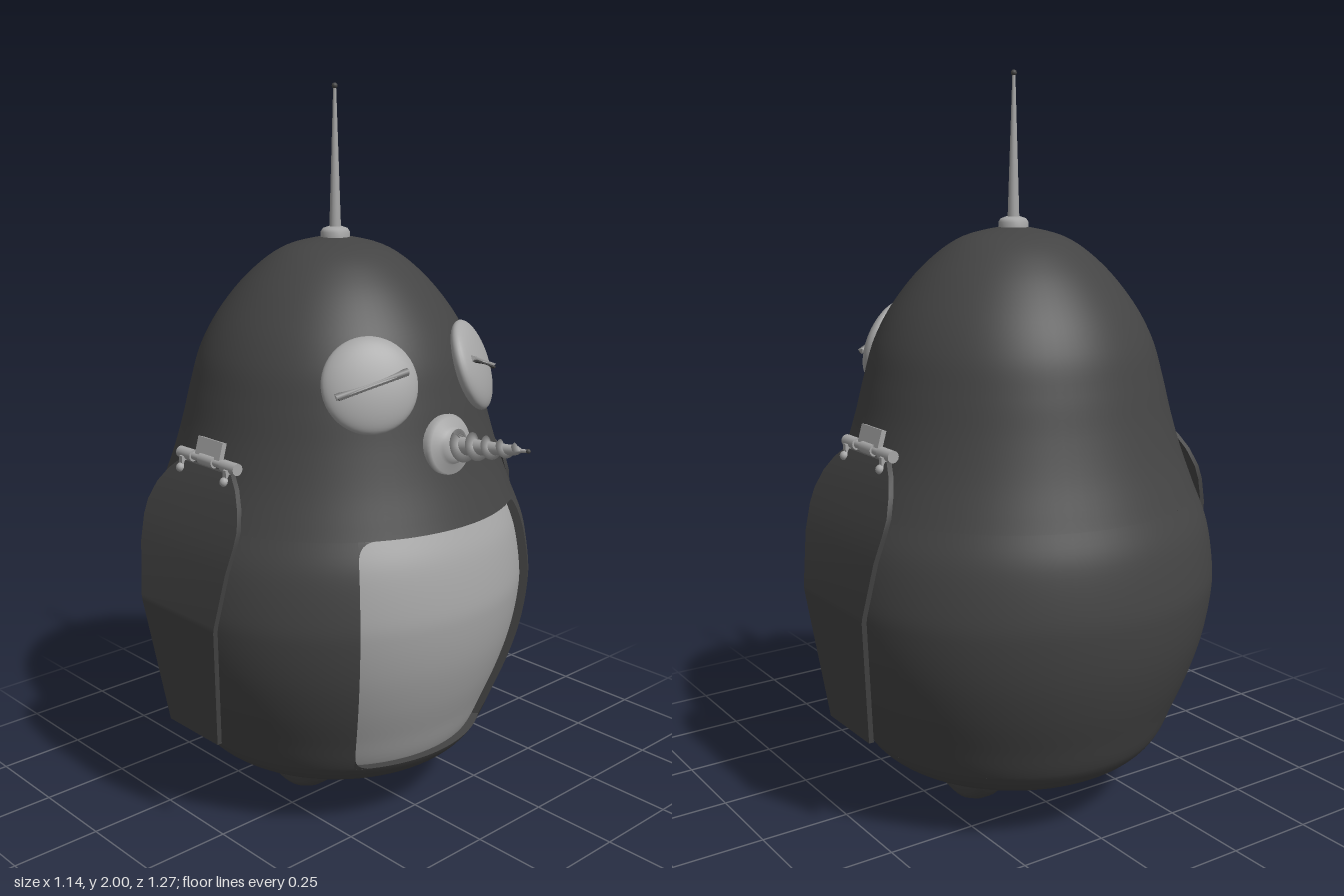
import * as THREE from 'three';
import { ParametricGeometry } from 'three/addons/geometries/ParametricGeometry.js';

const V2 = (x, y) => new THREE.Vector2(x, y);

export function createModel() {
  const dark = new THREE.MeshStandardMaterial({ name: 'charcoal shell', color: 0x444444, side: THREE.DoubleSide });
  const light = new THREE.MeshStandardMaterial({ name: 'light grey metal', color: 0xa6a6a6, side: THREE.DoubleSide });

  const model = new THREE.Group();
  model.name = 'robotBird';

  function add(parent, name, geometry, material, x = 0, y = 0, z = 0) {
    const mesh = new THREE.Mesh(geometry, material);
    mesh.name = name;
    mesh.position.set(x, y, z);
    parent.add(mesh);
    return mesh;
  }
  function group(parent, name, x = 0, y = 0, z = 0) {
    const g = new THREE.Group();
    g.name = name;
    g.position.set(x, y, z);
    parent.add(g);
    return g;
  }

  // The body axis sits a little behind the origin to leave room for the beak
  const axis = group(model, 'bodyAssembly', 0, 0, -0.083);

  // Body profile: radius and height
  const profile = new THREE.SplineCurve([
    [0, 0.125], [0.15, 0.125], [0.29, 0.127], [0.36, 0.145], [0.42, 0.2], [0.465, 0.3], [0.505, 0.4],
    [0.535, 0.5], [0.552, 0.6], [0.554, 0.68], [0.535, 0.8], [0.497, 0.9], [0.46, 1.0], [0.43, 1.1],
    [0.405, 1.2], [0.375, 1.3], [0.32, 1.4], [0.235, 1.5], [0.135, 1.57], [0, 1.602],
  ].map(p => V2(...p))).getPoints(114);

  function radiusAt(y) {
    const i = profile.findIndex(p => p.y >= y);
    const a = profile[i - 1], b = profile[i];
    return a.x + (b.x - a.x) * (y - a.y) / (b.y - a.y);
  }
  const between = (y0, y1) => [
    V2(radiusAt(y0), y0), ...profile.filter(p => p.y > y0 && p.y < y1), V2(radiusAt(y1), y1),
  ];

  // Body shell with an opening for the belly panel
  const low = 0.208, high = 0.885, half = 0.625, inset = 0.024;
  const lower = [...profile.filter(p => p.y < low), V2(radiusAt(low), low)];
  const upper = [V2(radiusAt(high), high), ...profile.filter(p => p.y > high)];
  const middle = between(low, high);
  const sunk = middle.map(p => V2(p.x - inset, p.y));
  add(axis, 'bodyBase', new THREE.LatheGeometry(lower, 80), dark);
  add(axis, 'bodyTop', new THREE.LatheGeometry(upper, 80), dark);
  add(axis, 'bodySides', new THREE.LatheGeometry(middle, 64, half, Math.PI * 2 - 2 * half), dark);
  add(axis, 'bellyPanel', new THREE.LatheGeometry(sunk, 24, -half, 2 * half), light);

  // Walls of the belly opening
  const last = middle.length - 1;
  add(axis, 'bellyTopEdge', new THREE.LatheGeometry([sunk[last], middle[last]], 24, -half, 2 * half), dark);
  add(axis, 'bellyBottomEdge', new THREE.LatheGeometry([middle[0], sunk[0]], 24, -half, 2 * half), dark);
  for (const s of [-1, 1]) {
    const wall = new THREE.Shape([...middle, ...[...sunk].reverse()]);
    add(axis, 'bellySideEdge', new THREE.ShapeGeometry(wall), dark).rotation.y = s * half - Math.PI / 2;
  }

  // Rounded corners of the opening, wrapped onto the body
  const c = 0.05;
  for (const sx of [-1, 1]) for (const sy of [-1, 1]) {
    const corner = new THREE.Shape();
    corner.moveTo(0, 0);
    corner.lineTo(-sx * c, 0);
    corner.quadraticCurveTo(0, 0, 0, -sy * c);
    const g = new THREE.ShapeGeometry(corner, 8);
    const p = g.attributes.position;
    for (let i = 0; i < p.count; i++) {
      const y = (sy > 0 ? high : low) + p.getY(i);
      const r = radiusAt(y), angle = sx * half + p.getX(i) / r;
      p.setXYZ(i, r * Math.sin(angle), y, r * Math.cos(angle));
    }
    g.computeVertexNormals();
    add(axis, 'bellyCorner', g, dark);
  }

  // Antenna
  add(axis, 'antennaBase', new THREE.LatheGeometry(
    [V2(0.04, 1.59), V2(0.04, 1.608), V2(0.034, 1.617), V2(0.02, 1.622), V2(0, 1.624)], 28), light);
  add(axis, 'antennaRod', new THREE.CylinderGeometry(0.004, 0.016, 0.375, 16), light, 0, 1.805, 0);
  add(axis, 'antennaTip', new THREE.SphereGeometry(0.008, 14, 10), dark, 0, 1.992, 0);

  // Wheels
  const tyre = [[0, -0.035], [0.07, -0.035], [0.078, -0.052], [0.1, -0.057], [0.14, -0.054], [0.158, -0.038],
    [0.166, -0.015], [0.166, 0.015], [0.158, 0.038], [0.14, 0.054], [0.1, 0.057], [0.078, 0.052],
    [0.07, 0.035], [0, 0.035]].map(p => V2(...p));
  for (const s of [-1, 1]) {
    const wheel = group(axis, s > 0 ? 'leftWheel' : 'rightWheel', s * 0.149, 0.166, 0);
    wheel.rotation.z = Math.PI / 2;
    add(wheel, 'tyre', new THREE.LatheGeometry(tyre, 48), dark);
    add(wheel, 'hub', new THREE.CylinderGeometry(0.028, 0.028, 0.1, 20), dark);
  }

  // Flippers: a bent plate given by height, half width and distance from the axis
  const rows = [[1.03, 0.11, 0.455], [1.0, 0.145, 0.47], [0.96, 0.175, 0.488], [0.91, 0.195, 0.506],
    [0.87, 0.196, 0.52], [0.8, 0.186, 0.54], [0.655, 0.162, 0.562], [0.64, 0.159, 0.562], [0.29, 0.107, 0.52]];
  function flipperGeometry() {
    const g = new THREE.BoxGeometry(0.014, 1, 1, 1, rows.length - 1, 1);
    const p = g.attributes.position;
    for (let i = 0; i < p.count; i++) {
      const [y, w, x] = rows[Math.round((0.5 - p.getY(i)) * (rows.length - 1))];
      p.setXYZ(i, x + p.getX(i), y, p.getZ(i) * 2 * w);
    }
    g.computeVertexNormals();
    return g;
  }
  for (const s of [-1, 1]) {
    const arm = group(axis, s > 0 ? 'leftArm' : 'rightArm');
    arm.rotation.y = s > 0 ? 0 : Math.PI;
    add(arm, 'flipper', flipperGeometry(), dark);
    // Hinge with its pin, wall plate and rivets
    const hinge = group(arm, 'hinge', 0.45, 1.045, 0);
    add(hinge, 'hingePin', new THREE.CylinderGeometry(0.011, 0.011, 0.246, 16), light).rotation.x = Math.PI / 2;
    for (const z of [-0.093, 0, 0.093]) {
      add(hinge, 'hingeKnuckle', new THREE.CylinderGeometry(0.016, 0.016, 0.06, 16), light, 0, 0, z).rotation.x = Math.PI / 2;
    }
    add(hinge, 'wallPlate', new THREE.BoxGeometry(0.014, 0.05, 0.105), light, -0.008, 0.03, 0).rotation.z = 0.28;
    for (const z of [-0.095, 0.095]) {
      add(hinge, 'flipperClip', new THREE.BoxGeometry(0.02, 0.03, 0.014), light, 0.012, -0.018, z);
      add(hinge, 'rivet', new THREE.SphereGeometry(0.013, 12, 8), light, 0.022, -0.034, z);
    }
  }

  // Closed eyes
  for (const s of [-1, 1]) {
    const eye = group(model, s > 0 ? 'leftEye' : 'rightEye', s * 0.19, 1.262, 0.256);
    eye.rotation.set(-0.33, s * 0.55, 0, 'YXZ');
    add(eye, 'eyeball', new THREE.SphereGeometry(0.126, 40, 24), light).scale.set(1, 1, 0.32);
    const lid = group(eye, 'eyelid', 0, 0, 0.034);
    lid.rotation.z = -s * 0.3;
    add(lid, 'lidRidge', new THREE.CylinderGeometry(0.01, 0.01, 0.2, 3), light).rotation.z = Math.PI / 2;
    add(lid, 'lidSlit', new THREE.BoxGeometry(0.19, 0.005, 0.009), dark, 0, -0.009, 0.003);
  }

  // Drill beak: flange, tapered core, spiral thread and fine point
  const beak = group(model, 'drillBeak', 0, 1.09, 0.352);
  beak.rotation.x = -0.14;
  const turned = (name, points, segments) => {
    add(beak, name, new THREE.LatheGeometry(points.map(p => V2(...p)), segments), light).rotation.x = Math.PI / 2;
  };
  turned('beakFlange', [[0.08, -0.02], [0.082, 0.002], [0.074, 0.012], [0.05, 0.016], [0.046, 0.026], [0.03, 0.034], [0, 0.036]], 36);
  turned('drillCore', [[0.028, 0], [0.022, 0.08], [0.016, 0.17], [0.012, 0.235], [0.005, 0.25], [0.004, 0.272], [0, 0.276]], 20);
  const turns = 4.5;
  const thread = new ParametricGeometry((u, v, target) => {
    const ridge = 1 - Math.abs(2 * v - 1);
    const r = 0.02 - 0.012 * u + ridge * 0.026 * (1 - 0.65 * u);
    const a = u * turns * Math.PI * 2;
    target.set(r * Math.cos(a), r * Math.sin(a), 0.025 + 0.215 * u + (v - 0.5) * 0.03);
  }, 140, 2);
  add(beak, 'drillThread', thread, light);
  add(beak, 'drillTip', new THREE.SphereGeometry(0.006, 12, 8), dark, 0, 0, 0.273);

  return model;
}
